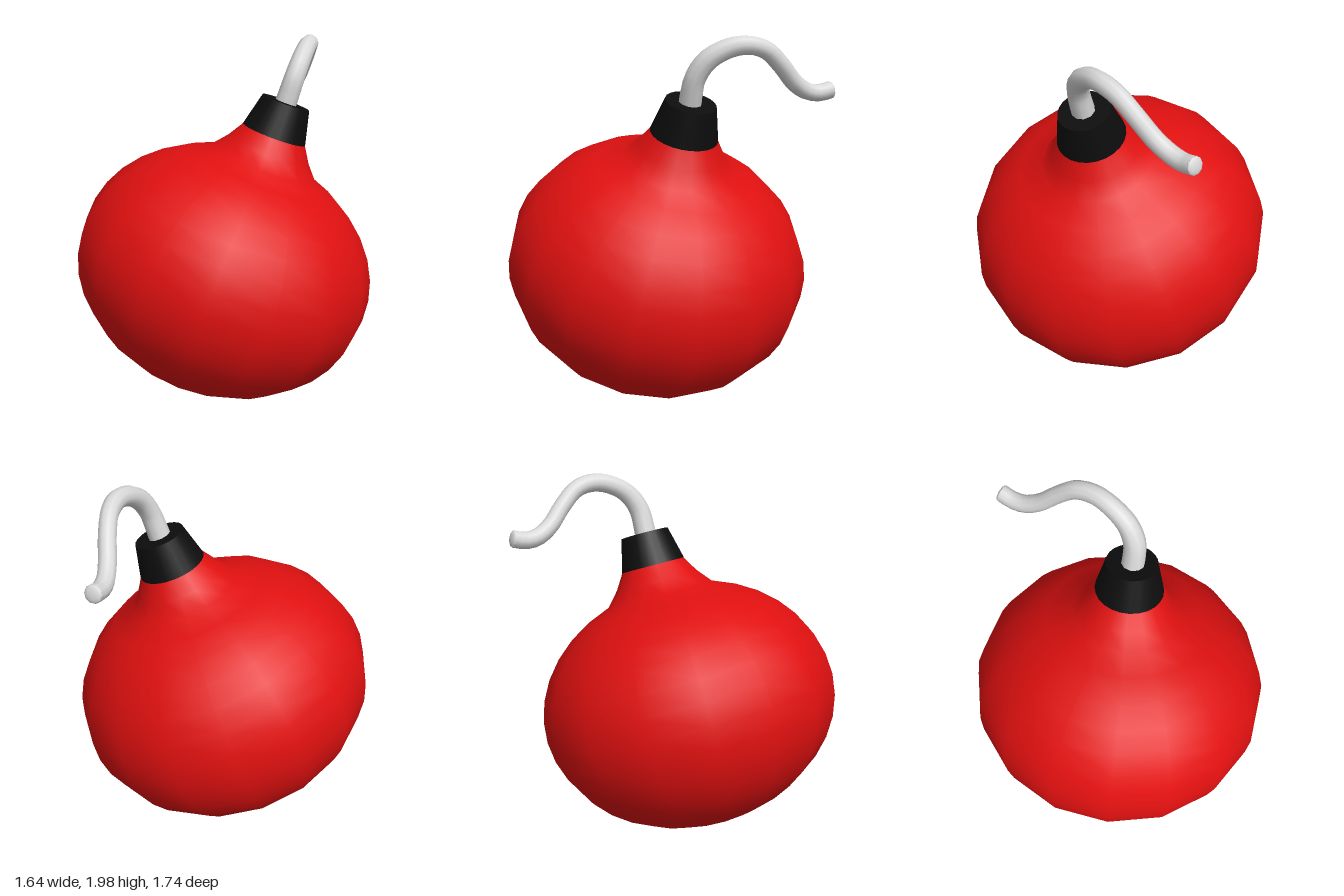
import * as THREE from 'three';

export function createModel() {
  const model = new THREE.Group();
  const red = new THREE.MeshStandardMaterial({ color: 0xe01010 });
  red.name = 'red shell';
  const black = new THREE.MeshStandardMaterial({ color: 0x0d0d0d });
  black.name = 'black cap';
  const white = new THREE.MeshStandardMaterial({ color: 0xdadada });
  white.name = 'pale cord';

  const add = (parent, name, geometry, material) => {
    const mesh = new THREE.Mesh(geometry, material);
    mesh.name = name;
    parent.add(mesh);
    return mesh;
  };

  // Body and cap share one leaning axis
  const leaning = new THREE.Group();
  leaning.name = 'leaningBody';
  leaning.position.set(0, 0.72, 0.04);
  leaning.quaternion.setFromUnitVectors(
    new THREE.Vector3(0, 1, 0),
    new THREE.Vector3(0.317, 0.94, -0.122).normalize()
  );
  model.add(leaning);

  // Squashed ball that flares into a short neck
  const R = 0.84, H = 0.692, rings = 16;
  const profile = [];
  for (let i = 0; i <= rings; i++) {
    const a = -Math.PI / 2 + (i / rings) * (Math.PI / 2 + 1.2);
    profile.push(new THREE.Vector2(i ? R * Math.cos(a) : 0, H * Math.sin(a)));
  }
  profile.push(new THREE.Vector2(0.235, 0.725), new THREE.Vector2(0.172, 0.825));
  add(leaning, 'body', new THREE.LatheGeometry(profile, 16, 0.08), red);

  // Tapered cap
  const cap = add(leaning, 'cap', new THREE.CylinderGeometry(0.135, 0.182, 0.185, 24), black);
  cap.position.y = 0.905;

  // Curved fuse, slimmer towards its tip
  const path = new THREE.CatmullRomCurve3([
    [0.305, 1.62, -0.075], [0.33, 1.7, -0.08], [0.357, 1.79, -0.095],
    [0.382, 1.875, -0.15], [0.398, 1.932, -0.25], [0.405, 1.948, -0.35],
    [0.394, 1.922, -0.45], [0.365, 1.845, -0.54], [0.325, 1.75, -0.63],
    [0.298, 1.702, -0.71], [0.288, 1.692, -0.78], [0.286, 1.707, -0.845]
  ].map(p => new THREE.Vector3(...p)));
  const steps = 30, sides = 10;
  const tube = new THREE.TubeGeometry(path, steps, 1, sides);
  const pos = tube.attributes.position;
  const v = new THREE.Vector3();
  const radiusAt = t => 0.062 - 0.016 * Math.min(1, t * 1.8);
  for (let i = 0; i < pos.count; i++) {
    const t = Math.floor(i / (sides + 1)) / steps;
    const centre = path.getPointAt(t);
    v.fromBufferAttribute(pos, i).sub(centre).multiplyScalar(radiusAt(t)).add(centre);
    pos.setXYZ(i, v.x, v.y, v.z);
  }
  add(model, 'fuse', tube, white);

  // Slightly domed end of the fuse
  const r = radiusAt(1);
  const tip = add(model, 'fuseTip',
    new THREE.SphereGeometry(r, sides, 4, 0, Math.PI * 2, 0, Math.PI / 2), white);
  tip.scale.y = 0.35;
  tip.position.copy(path.getPointAt(1));
  tip.quaternion.setFromUnitVectors(new THREE.Vector3(0, 1, 0), path.getTangentAt(1));

  return model;
}
